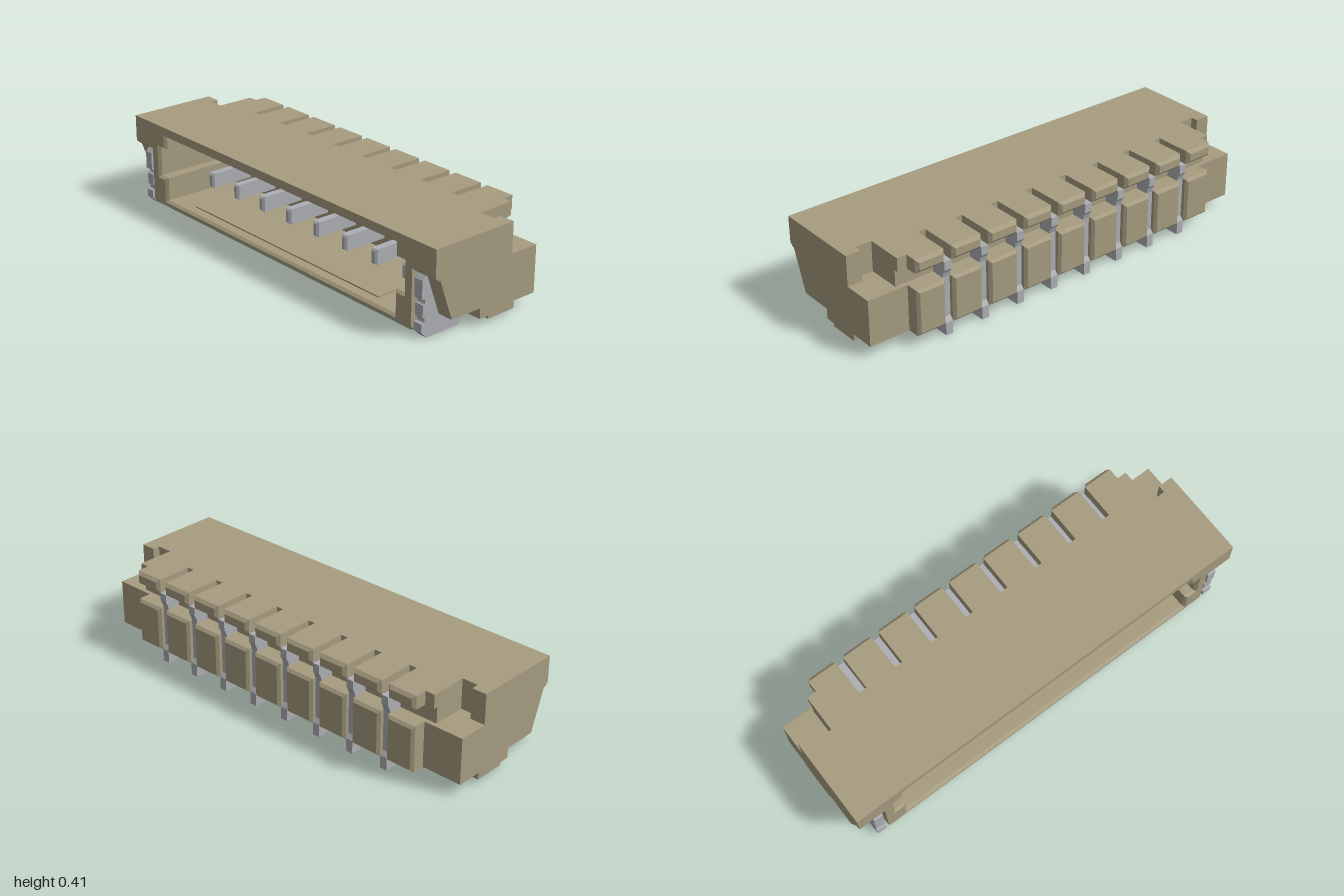
import * as THREE from 'three';

const body = new THREE.MeshStandardMaterial({ color: 0xa69c80 });
body.name = 'tan plastic';
const metal = new THREE.MeshStandardMaterial({ color: 0xadafb4 });
metal.name = 'grey metal';

export function createModel() {
  const group = new THREE.Group();

  const add = (name, geo, mat = body) => {
    const mesh = new THREE.Mesh(geo, mat);
    mesh.name = name;
    group.add(mesh);
    return mesh;
  };
  const flat = (geo) => {
    const g = geo.index ? geo.toNonIndexed() : geo;
    g.computeVertexNormals();
    return g;
  };
  const box = (name, x0, x1, y0, y1, z0, z1, mat) =>
    add(name, new THREE.BoxGeometry(x1 - x0, y1 - y0, z1 - z0)
      .translate((x0 + x1) / 2, (y0 + y1) / 2, (z0 + z1) / 2), mat);
  const shapeOf = (pts) => new THREE.Shape(pts.map(([a, b]) => new THREE.Vector2(a, b)));

  // Extrudes a side profile of [z, y] points between two x positions
  const side = (name, pts, x0, x1, mat) =>
    add(name, new THREE.ExtrudeGeometry(shapeOf(pts.map(([z, y]) => [-z, y])),
      { depth: x1 - x0, bevelEnabled: false }).rotateY(Math.PI / 2).translate(x0, 0, 0), mat);

  // Box running from zBase to zTip whose tip edges are chamfered by c
  const block = (name, x0, x1, y0, y1, zBase, zTip, c, mat) => {
    const dir = Math.sign(zTip - zBase);
    const g = new THREE.BoxGeometry(x1 - x0, y1 - y0, 2, 1, 1, 2);
    const p = g.attributes.position;
    for (let i = 0; i < p.count; i++) {
      const s = p.getZ(i) * dir;
      if (s > 0.5) {
        p.setX(i, p.getX(i) - Math.sign(p.getX(i)) * c);
        p.setY(i, p.getY(i) - Math.sign(p.getY(i)) * c);
      }
      p.setZ(i, s > 0.5 ? zTip : s < -0.5 ? zBase : zTip - dir * c);
    }
    return add(name, flat(g.translate((x0 + x1) / 2, (y0 + y1) / 2, 0)), mat);
  };

  // Front shell with keyed socket opening
  const outline = (top, w) => [[-w, top], [-w, 0.022], [-w + 0.01, 0.013],
    [w - 0.01, 0.013], [w, 0.022], [w, top]];
  const shell = shapeOf(outline(0.408, 0.87));
  const half = [[0.77, 0.05], [0.77, 0.16], [0.82, 0.16], [0.82, 0.30], [0.77, 0.30], [0.77, 0.36]];
  const hole = [...half, ...half.map(([x, y]) => [-x, y]).reverse()];
  shell.holes.push(new THREE.Path(hole.map(([x, y]) => new THREE.Vector2(x, y))));
  const shellGeo = new THREE.ExtrudeGeometry(shell, { depth: 0.385, steps: 2, bevelEnabled: false })
    .translate(0, 0, -0.07);
  const p = shellGeo.attributes.position;
  for (let i = 0; i < p.count; i++) {
    const x = p.getX(i), y = p.getY(i), z = p.getZ(i);
    if (z > 0.05 && z < 0.2) p.setZ(i, 0.302);
    if (z < 0.31) continue;
    if (y < 0.03) p.setY(i, y + 0.012);
    else if (Math.abs(x) < 0.85 && y < 0.38) {
      p.setX(i, x + Math.sign(x) * 0.012);
      p.setY(i, y + (y > 0.2 ? 0.01 : -0.01));
    }
  }
  add('socketShell', flat(shellGeo));
  box('socketFloorPad', -0.62, 0.62, 0.048, 0.056, -0.07, 0.26);

  // Rear core
  add('rearWall', new THREE.ExtrudeGeometry(shapeOf(outline(0.268, 0.87)),
    { depth: 0.06, bevelEnabled: false }).translate(0, 0, -0.13));
  box('rearWallTop', -0.855, 0.855, 0.268, 0.408, -0.13, -0.07);
  box('rearLower', -0.87, 0.87, 0.055, 0.268, -0.225, -0.13);
  box('rearGroove', -0.855, 0.855, 0.268, 0.345, -0.225, -0.13);

  // Comb of blocks between the contacts, above and below the groove
  const pitch = 0.186, slot = 0.0185;
  for (let i = 0; i <= 8; i++) {
    const x0 = i === 0 ? -0.81 : (i - 4.5) * pitch + slot;
    const x1 = i === 8 ? 0.81 : (i - 3.5) * pitch - slot;
    block('upperTooth', x0, x1, 0.345, 0.408, -0.13, -0.313, 0.014);
    block('lowerTooth', x0, x1, 0.055, 0.268, -0.22, -0.313, 0.012);
  }

  // Contacts: rear leg with solder foot, bridge, and two prongs in the socket
  const leg = [[-0.2, 0.345], [-0.302, 0.345], [-0.302, 0.305], [-0.293, 0.29], [-0.287, 0.268],
    [-0.287, 0.08], [-0.302, 0.06], [-0.302, 0], [-0.22, 0], [-0.207, 0.004], [-0.199, 0.014],
    [-0.198, 0.026], [-0.203, 0.038], [-0.214, 0.046], [-0.22, 0.047], [-0.222, 0.058]];
  for (let i = 0; i < 8; i++) {
    const x = (i - 3.5) * pitch, w = 0.0175;
    side('contactLeg', leg, x - w, x + w, metal);
    box('contactBridge', x - w, x + w, 0.275, 0.35, -0.26, -0.1, metal);
    block('upperProng', x - w, x + w, 0.27, 0.368, -0.1, 0.15, 0.009, metal);
    block('lowerProng', x - w, x + w, 0.11, 0.18, -0.1, 0.15, 0.009, metal);
  }

  // Side wings and solder tabs, mirrored
  const wing = (zTop) => [[0.315, 0.408], [0.315, 0.285], [0.297, 0.27], [0.29, 0.27],
    [0.222, 0.083], [0.065, 0.083], [0.065, 0.035], [0.018, 0.035], [0.018, 0.022],
    [-0.127, 0.022], [-0.127, 0.055], [-0.245, 0.055], [-0.245, 0.268], [zTop, 0.268], [zTop, 0.408]];
  const tab = [[0.315, 0.252], [0.297, 0.27], [0.29, 0.27], [0.222, 0.083], [0.083, 0.083],
    [0.083, 0.03], [0.112, 0], [0.287, 0], [0.315, 0.029], [0.315, 0.065], [0.302, 0.065],
    [0.298, 0.07], [0.298, 0.083], [0.302, 0.09], [0.309, 0.09], [0.309, 0.145], [0.302, 0.145],
    [0.298, 0.15], [0.298, 0.163], [0.302, 0.17], [0.315, 0.17]];
  for (const s of [1, -1]) {
    const span = (a, b) => (s > 0 ? [a, b] : [-b, -a]);
    side('innerWing', wing(-0.07), ...span(0.86, 0.93));
    side('outerWing', wing(-0.105), ...span(0.93, 1));
    side('solderTab', tab, ...span(0.885, 0.928), metal);
    box('wingRoot', ...span(0.8, 0.87), 0.055, 0.268, -0.245, -0.2);
    box('topShoulder', ...span(0.8, 0.855), 0.345, 0.408, -0.245, -0.13);
  }
  return group;
}
